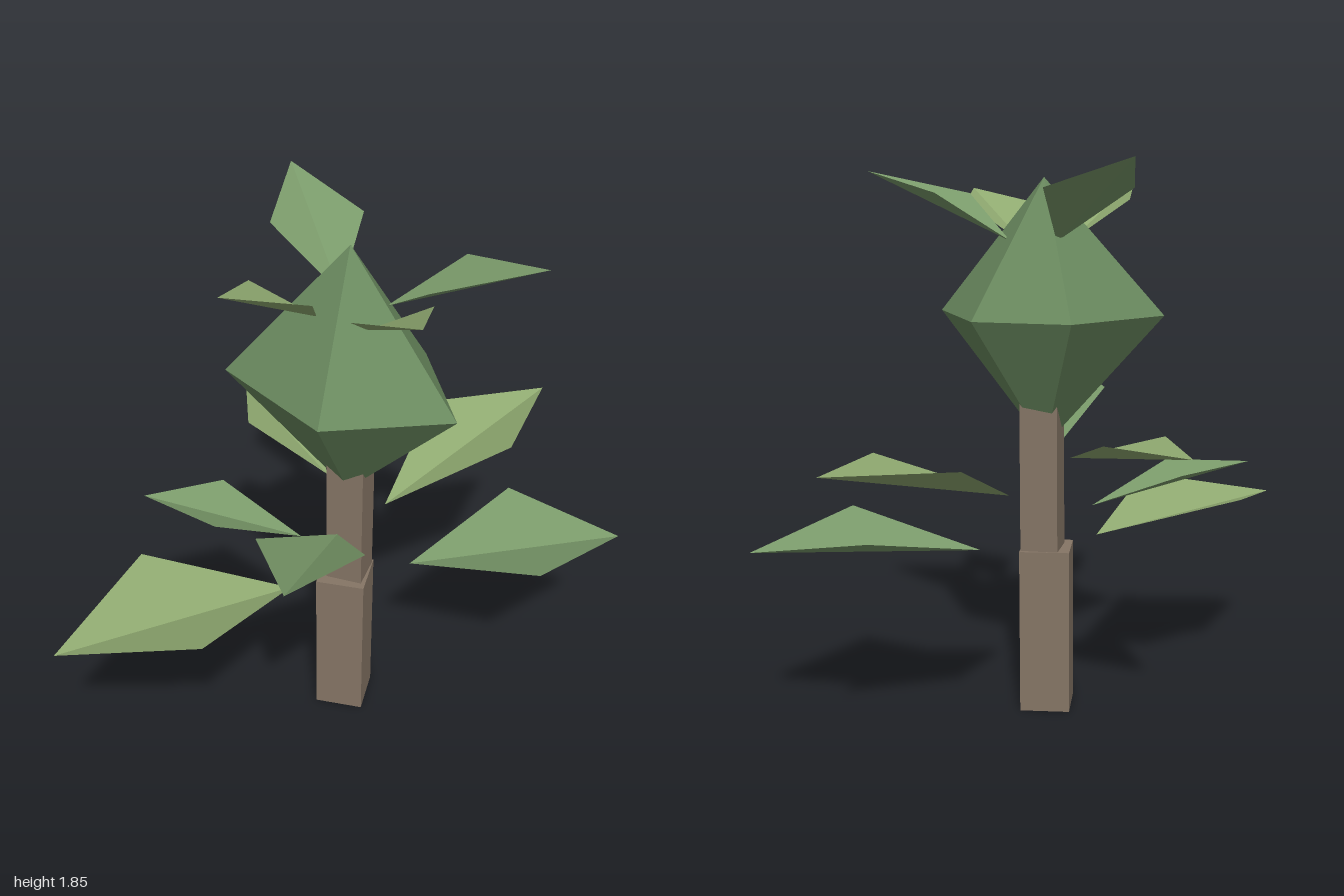
import * as THREE from 'three';
import { ConvexGeometry } from 'three/addons/geometries/ConvexGeometry.js';

const mat = (color, side = THREE.FrontSide) =>
  new THREE.MeshStandardMaterial({ color, flatShading: true, side });

// Kite-shaped leaf folded along its midrib: base, tip and two side corners
function leafGeometry(base, tip, sideA, sideB) {
  const up = (a, b, c) => {
    const [A, B, C] = [a, b, c].map((p) => new THREE.Vector3(...p));
    const n = B.clone().sub(A).cross(C.clone().sub(A));
    return n.y >= 0 ? [...a, ...b, ...c] : [...a, ...c, ...b];
  };
  const geo = new THREE.BufferGeometry();
  const pos = [...up(base, tip, sideA), ...up(base, tip, sideB)];
  geo.setAttribute('position', new THREE.Float32BufferAttribute(pos, 3));
  geo.computeVertexNormals();
  return geo;
}

export function createModel() {
  const group = new THREE.Group();
  const add = (name, geo, material) => {
    const mesh = new THREE.Mesh(geo, material);
    mesh.name = name;
    group.add(mesh);
    return mesh;
  };

  // Stepped square trunk, turned corner-forward
  const bark = mat(0x857565);
  const trunk = (name, radius, y0, y1, x, turn) => {
    const mesh = add(name, new THREE.CylinderGeometry(radius, radius, y1 - y0, 4), bark);
    mesh.position.set(x, (y0 + y1) / 2, 0.045);
    mesh.rotation.y = turn;
  };
  trunk('lowerTrunk', 0.119, 0, 0.565, 0.055, 0.02);
  trunk('upperTrunk', 0.0895, 0.565, 1.2, 0.072, -0.08);

  // Faceted crown: an irregular five-sided double pyramid
  const ring = [[0.355, 0.045], [0.195, 0.45], [-0.19, 0.28], [-0.26, -0.19], [0.166, -0.225]];
  const crownPoints = ring.map(([x, z]) => new THREE.Vector3(x, 1.35, z));
  crownPoints.push(new THREE.Vector3(0.06, 1.8, 0.045), new THREE.Vector3(0.06, 0.915, 0.045));
  add('crown', new ConvexGeometry(crownPoints), mat(0x6a8a5f));

  const pale = mat(0x8fa970, THREE.DoubleSide);
  const green = mat(0x7a9a6a, THREE.DoubleSide);

  // Leaves floating around the trunk
  const lower = [
    [pale, [-0.16, 0.57, 0.035], [-1, 0.61, 0], [-0.58, 0.685, -0.255], [-0.61, 0.685, 0.285]],
    [green, [0.27, 0.57, 0.13], [0.965, 0.62, 0.425], [0.525, 0.688, 0.53], [0.745, 0.688, 0.06]],
    [pale, [0.23, 0.773, 0.02], [0.99, 0.962, -0.095], [0.595, 0.948, -0.24], [0.655, 0.95, 0.16]],
    [green, [-0.05, 0.843, 0.165], [-0.5, 1.1, 0.63], [-0.41, 1.04, 0.285], [-0.165, 1.04, 0.52]],
    [green, [-0.07, 0.705, -0.045], [-0.515, 0.85, -0.348], [-0.228, 0.833, -0.32], [-0.375, 0.833, -0.087]],
    [pale, [0.06, 0.895, -0.09], [0.03, 0.973, -0.633], [-0.09, 0.993, -0.383], [0.17, 0.993, -0.383]],
  ];
  // Leaves sprouting near the tip of the crown
  const upper = [
    [pale, [-0.06, 1.595, 0.05], [-0.435, 1.797, 0.155], [-0.245, 1.727, -0.03], [-0.165, 1.727, 0.21]],
    [green, [0.157, 1.596, 0.1], [0.437, 1.82, 0.516], [0.14, 1.748, 0.35], [0.39, 1.75, 0.185]],
    [pale, [0.04, 1.582, 0.18], [-0.015, 1.765, 0.547], [-0.115, 1.717, 0.335], [0.145, 1.717, 0.37]],
    [green, [0.08, 1.597, -0.045], [0.17, 1.854, -0.517], [-0.033, 1.766, -0.29], [0.268, 1.767, -0.215]],
  ];
  lower.forEach(([m, ...pts], i) => add(`trunkLeaf${i + 1}`, leafGeometry(...pts), m));
  upper.forEach(([m, ...pts], i) => add(`crownLeaf${i + 1}`, leafGeometry(...pts), m));

  return group;
}
